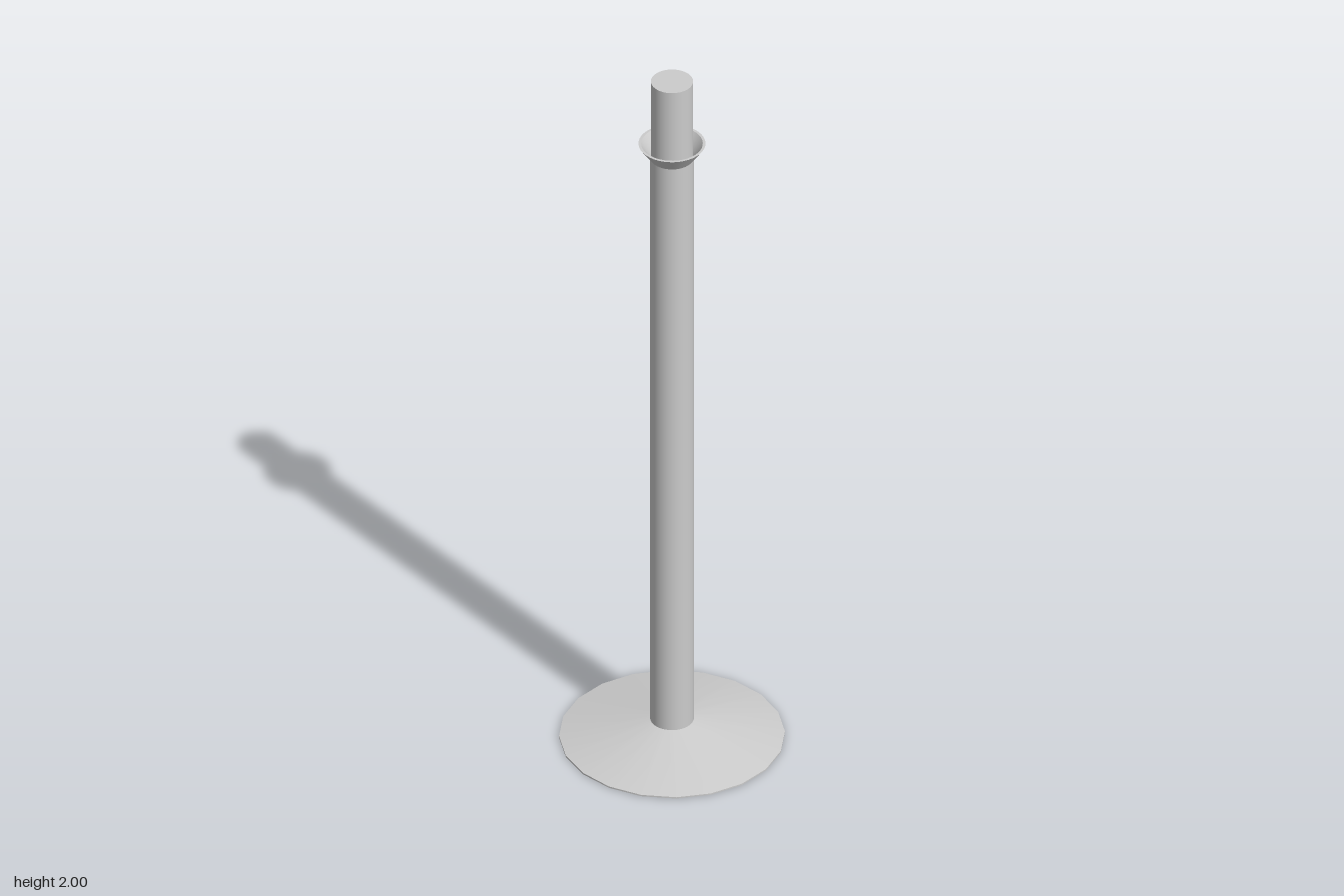
import * as THREE from 'three';

const material = new THREE.MeshStandardMaterial({ color: 0xcccccc });

// Turned part; every listed segment keeps a sharp edge with the next one
function turned(name, segments, sides) {
  const group = new THREE.Group();
  group.name = name;
  for (const [r0, y0, r1, y1] of segments) {
    const points = [new THREE.Vector2(r0, y0), new THREE.Vector2(r1, y1)];
    const mesh = new THREE.Mesh(new THREE.LatheGeometry(points, sides), material);
    mesh.name = name + 'Surface';
    group.add(mesh);
  }
  return group;
}

export function createModel() {
  const model = new THREE.Group();
  model.name = 'barrierPost';

  // Shallow conical foot with flat underside
  model.add(turned('base', [
    [0, 0, 0.286, 0],
    [0.286, 0, 0.286, 0.004],
    [0.286, 0.004, 0.054, 0.053],
  ], 20));

  // Main tube
  model.add(turned('post', [
    [0.0555, 0.05, 0.0555, 1.775],
    [0.0555, 1.775, 0.053, 1.775],
  ], 40));

  // Slimmer head with flat cap
  model.add(turned('head', [
    [0.0535, 1.77, 0.0535, 2],
    [0.0535, 2, 0, 2],
  ], 40));

  // Flared collar: outer cone, thin rim, hollow inner cone
  model.add(turned('collar', [
    [0.0555, 1.768, 0.085, 1.81],
    [0.085, 1.81, 0.078, 1.81],
    [0.078, 1.81, 0.0535, 1.776],
  ], 40));

  return model;
}
